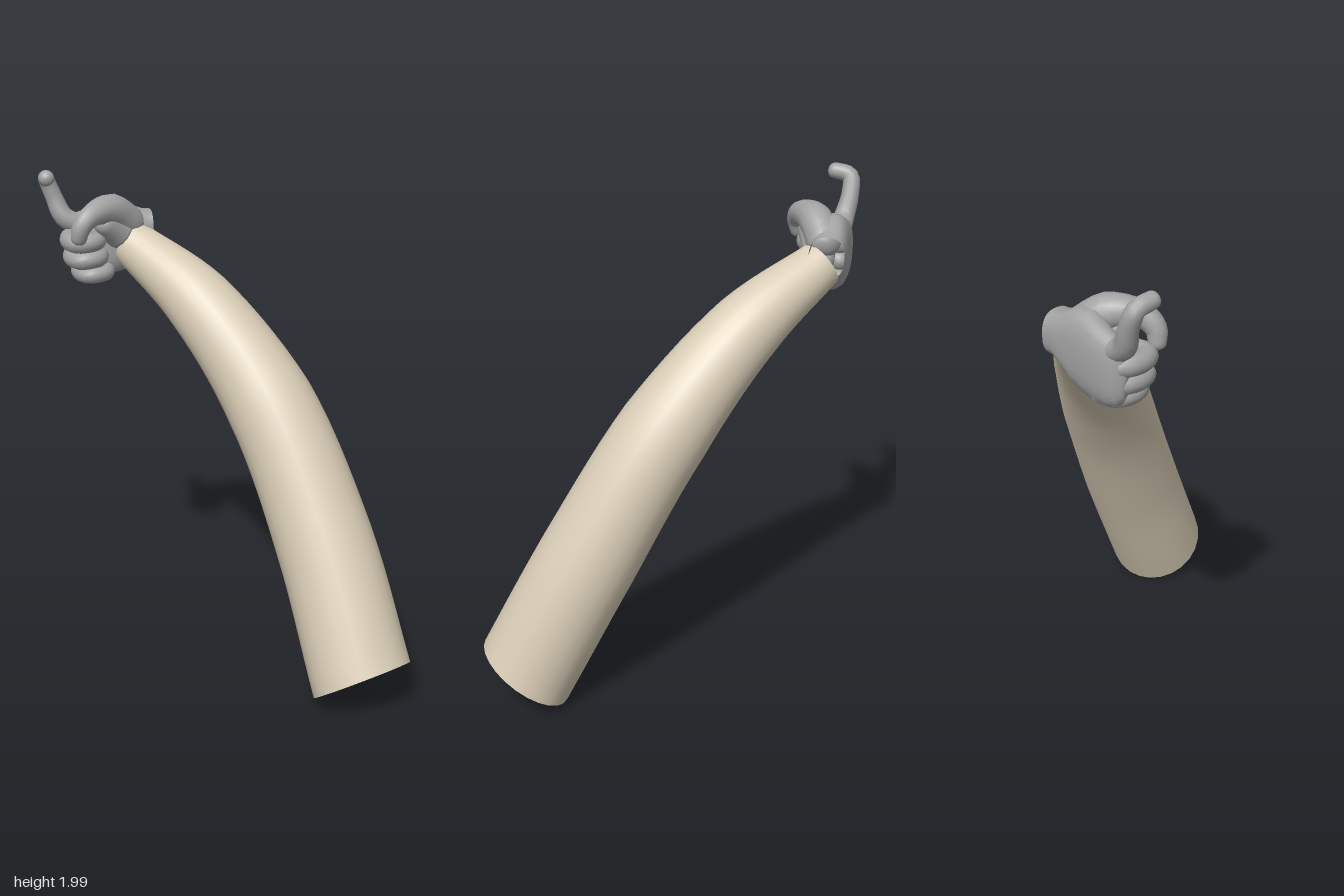
import * as THREE from 'three';

const V = (x, y, z) => new THREE.Vector3(x, y, z);

// Smooth surface through a list of equally sized rings of points
function skin(rings) {
  const n = rings[0].length, idx = [];
  for (let i = 0; i < rings.length - 1; i++) {
    for (let j = 0; j < n; j++) {
      const a = i * n + j, b = i * n + (j + 1) % n;
      idx.push(a, b, a + n, b, b + n, a + n);
    }
  }
  const g = new THREE.BufferGeometry().setFromPoints(rings.flat());
  g.setIndex(idx);
  g.computeVertexNormals();
  return g;
}

// Ring around centre c facing direction t; power < 1 squares it off
function ring(c, t, ref, ru, rv, sides, power = 1) {
  const u = ref.clone().cross(t).normalize();
  const v = t.clone().cross(u).normalize();
  const bend = (k) => Math.sign(k) * Math.abs(k) ** power;
  return Array.from({ length: sides }, (_, j) => {
    const a = (j / sides) * Math.PI * 2;
    return c.clone().addScaledVector(u, ru * bend(Math.cos(a))).addScaledVector(v, rv * bend(Math.sin(a)));
  });
}

// Linear lookup in an evenly spaced list
function lookup(list, t) {
  const f = t * (list.length - 1), i = Math.min(Math.floor(f), list.length - 2);
  return THREE.MathUtils.lerp(list[i], list[i + 1], f - i);
}

// Tapered finger with round ends
function finger(points, radii, ref, steps = 16, sides = 14) {
  const curve = new THREE.CatmullRomCurve3(points.map((p) => V(...p)));
  const rings = [];
  const cap = (t, sign, angles) => {
    const c = curve.getPoint(t), d = curve.getTangent(t), r = lookup(radii, t);
    for (const a of angles) {
      const rr = r * Math.cos(a);
      rings.push(ring(c.clone().addScaledVector(d, sign * r * 0.8 * Math.sin(a)), d, ref, rr, rr, sides));
    }
  };
  cap(0, -1, [1.56, 1.2, 0.8, 0.4]);
  for (let i = 0; i <= steps; i++) {
    const t = i / steps, r = lookup(radii, t);
    rings.push(ring(curve.getPoint(t), curve.getTangent(t), ref, r, r, sides));
  }
  cap(1, 1, [0.4, 0.8, 1.2, 1.56]);
  return skin(rings);
}

export function createModel() {
  const model = new THREE.Group();
  model.name = 'gloveAndSleeve';
  const cloth = new THREE.MeshStandardMaterial({ name: 'sleeveBeige', color: 0xd9cdb6, side: THREE.DoubleSide });
  const glove = new THREE.MeshStandardMaterial({ name: 'gloveGrey', color: 0xa3a3a3, side: THREE.DoubleSide });
  const add = (parent, name, geo, mat) => {
    const m = new THREE.Mesh(geo, mat);
    m.name = name;
    parent.add(m);
  };

  // Sleeve: open, tapering and curving up to the wrist
  const path = new THREE.CatmullRomCurve3([
    V(0.43, 0.13, 0.47), V(0.34, 0.63, 0.225), V(0.185, 1.13, -0.04),
    V(-0.04, 1.49, -0.305), V(-0.262, 1.69, -0.545),
  ]);
  const widths = [0.203, 0.195, 0.178, 0.14, 0.092];
  const hem = V(-0.22, 0.79, -0.54).normalize();
  const rings = [];
  for (let i = 0; i <= 28; i++) {
    const t = i / 28;
    const dir = path.getTangent(t).lerp(hem, Math.max(0, 1 - t * 5)).normalize();
    const r = lookup(widths, t);
    rings.push(ring(path.getPoint(t), dir, V(1, 0, 0), r, r, 24));
  }
  add(model, 'sleeve', skin(rings), cloth);

  // Glove
  const hand = new THREE.Group();
  hand.name = 'hand';
  model.add(hand);

  // Palm sections from the open wrist to the knuckles: x, y, z, half height, half depth
  const sections = [
    [-0.178, 1.735, -0.573, 0.082, 0.068],
    [-0.21, 1.735, -0.574, 0.085, 0.066],
    [-0.25, 1.725, -0.572, 0.11, 0.069],
    [-0.3, 1.718, -0.57, 0.145, 0.071],
    [-0.36, 1.71, -0.575, 0.152, 0.066],
    [-0.42, 1.695, -0.583, 0.139, 0.058],
    [-0.47, 1.69, -0.588, 0.128, 0.05],
    [-0.505, 1.69, -0.588, 0.112, 0.038],
    [-0.525, 1.69, -0.585, 0.08, 0.02],
    [-0.53, 1.69, -0.585, 0.002, 0.001],
  ];
  add(hand, 'palm', skin(sections.map(([x, y, z, h, d]) =>
    ring(V(x, y, z), V(-1, 0, 0), V(0, 1, 0), d, h, 24, 0.8))), glove);

  // Pointing finger with its tip bent forward
  add(hand, 'indexFinger', finger(
    [[-0.46, 1.76, -0.585], [-0.53, 1.8, -0.59], [-0.565, 1.88, -0.605], [-0.592, 1.95, -0.598], [-0.599, 1.967, -0.535]],
    [0.043, 0.041, 0.035, 0.033, 0.031], V(1, 0.4, 0)), glove);

  // Thumb arching over the fist, with its fleshy base
  add(hand, 'thumb', finger(
    [[-0.27, 1.77, -0.55], [-0.35, 1.835, -0.5], [-0.44, 1.832, -0.43], [-0.485, 1.79, -0.41], [-0.497, 1.745, -0.415]],
    [0.068, 0.066, 0.045, 0.038, 0.032], V(0.55, 0, 0.83)), glove);
  add(hand, 'thumbBase', finger(
    [[-0.27, 1.7, -0.545], [-0.32, 1.74, -0.52], [-0.38, 1.79, -0.48]],
    [0.05, 0.066, 0.05], V(0.55, 0, 0.83)), glove);

  // Three fingers curled into the palm: height, reach, thickness
  const curled = [
    ['middleFinger', 1.718, 0, 0.04],
    ['ringFinger', 1.65, 0.008, 0.038],
    ['littleFinger', 1.588, 0.035, 0.034],
  ];
  for (const [name, y, dx, r] of curled) {
    add(hand, name, finger(
      [[-0.44 + dx, y, -0.59], [-0.505 + dx, y, -0.575], [-0.518 + dx, y - 0.003, -0.51],
        [-0.49 + dx, y - 0.004, -0.455], [-0.425 + dx, y - 0.002, -0.465], [-0.4 + dx, y, -0.52]],
      [r, r, r * 0.97, r * 0.95, r * 0.9, r * 0.8], V(0, 1, 0)), glove);
  }
  return model;
}
